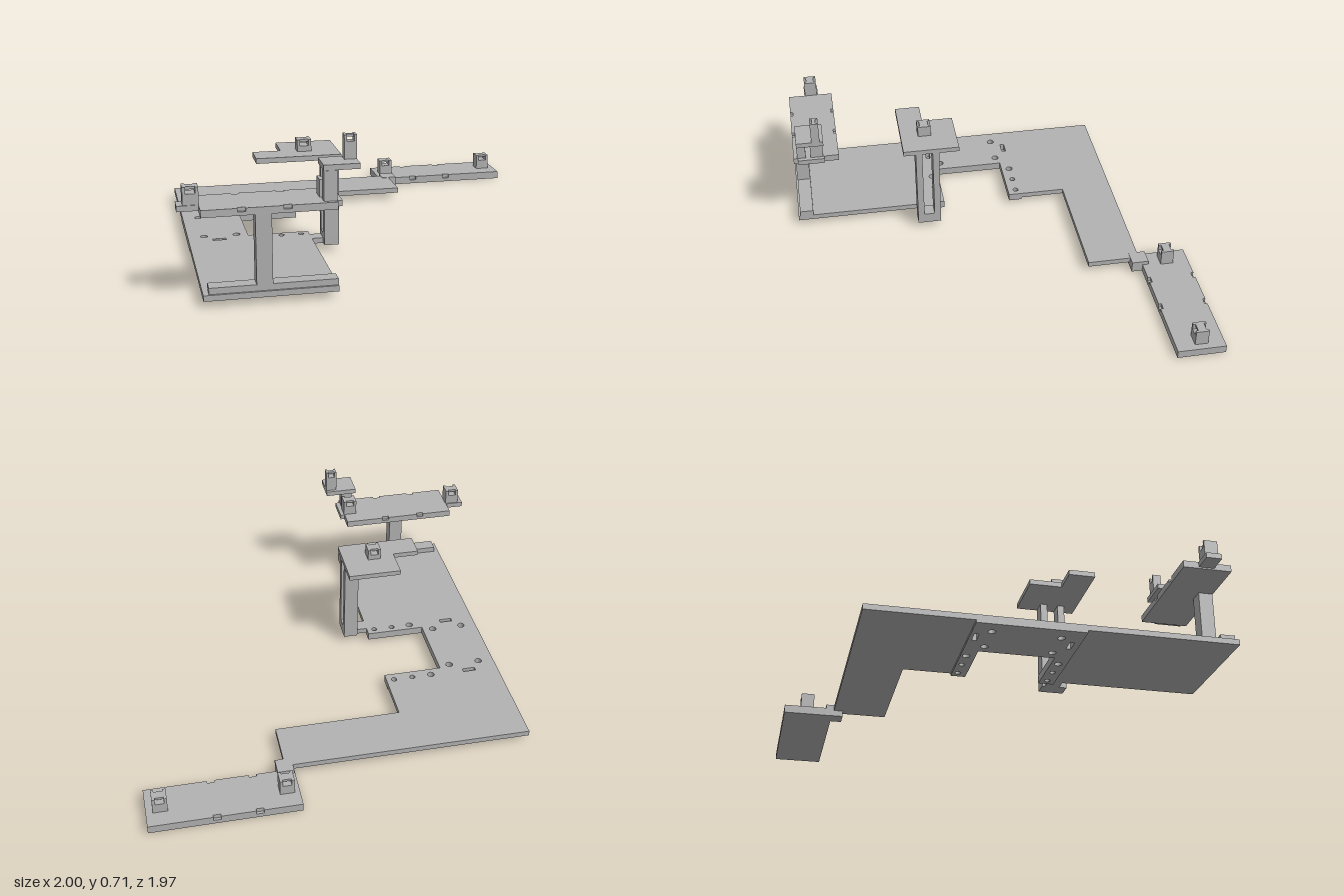
import * as THREE from 'three';

const grey = new THREE.MeshStandardMaterial({ color: 0xb2b2b2 });
grey.name = 'plain grey';

// Box given by its limits along each axis
function box(parent, name, x0, x1, y0, y1, z0, z1) {
  const mesh = new THREE.Mesh(new THREE.BoxGeometry(x1 - x0, y1 - y0, z1 - z0), grey);
  mesh.position.set((x0 + x1) / 2, (y0 + y1) / 2, (z0 + z1) / 2);
  mesh.name = name;
  parent.add(mesh);
}

// Flat plate with an outline of [x, z] points, between two heights
function plate(parent, name, outline, y0, y1, holes = []) {
  const shape = new THREE.Shape(outline.map(([x, z]) => new THREE.Vector2(x, z)));
  shape.holes.push(...holes);
  const geometry = new THREE.ExtrudeGeometry(shape, { depth: y1 - y0, bevelEnabled: false, curveSegments: 10 });
  geometry.rotateX(Math.PI / 2).translate(0, y1, 0);
  const mesh = new THREE.Mesh(geometry, grey);
  mesh.name = name;
  parent.add(mesh);
}

function roundHole(x, z, r) {
  const path = new THREE.Path();
  path.absarc(x, z, r, 0, Math.PI * 2, true);
  return path;
}

function slotHole(x, z) {
  const w = 0.033, h = 0.011;
  return new THREE.Path([[-w, -h], [-w, h], [w, h], [w, -h]].map(([a, b]) => new THREE.Vector2(x + a, z + b)));
}

// Bolt holes, the same on both sides of the recess
function boltHoles() {
  const holes = [];
  for (const [inner, outer] of [[-0.152, -0.213], [0.165, 0.225]]) {
    holes.push(roundHole(-0.825, inner, 0.018), roundHole(-0.665, inner, 0.018));
    holes.push(roundHole(-0.548, outer, 0.018), roundHole(-0.448, outer, 0.014), roundHole(-0.35, outer, 0.014));
    holes.push(slotHole(-0.755, outer));
  }
  return holes;
}

// Small upright block with a window through it and notched faces above
function lug(parent, name, x, y, z, w, h, d) {
  const group = new THREE.Group();
  group.name = name;
  const x0 = x - w / 2, x1 = x + w / 2, z0 = z - d / 2, z1 = z + d / 2;
  const side = w * 0.2, sill = y + h - 0.03, top = y + h;
  box(group, 'lugBody', x0, x1, y, sill, z0, z1);
  box(group, 'lugCheek', x0, x0 + side, sill, top, z0, z1);
  box(group, 'lugCheek', x1 - side, x1, sill, top, z0, z1);
  box(group, 'lugBridge', x0 + side, x1 - side, top - 0.012, top, z0 + 0.012, z1 - 0.012);
  parent.add(group);
}

// Rack plate whose upper half has two notches along each long edge
function rack(parent, name, x0, x1, y0, y1, z0, z1, notches) {
  const mid = (y0 + y1) / 2, w = 0.018, d = 0.014;
  const near = [], far = [];
  for (const n of notches) {
    near.push([n - w, z0], [n - w, z0 + d], [n + w, z0 + d], [n + w, z0]);
    far.unshift([n + w, z1], [n + w, z1 - d], [n - w, z1 - d], [n - w, z1]);
  }
  box(parent, name + 'Bottom', x0, x1, y0, mid, z0, z1);
  plate(parent, name + 'Top', [[x0, z0], ...near, [x1, z0], [x1, z1], ...far, [x0, z1]], mid, y1);
}

export function createModel() {
  const model = new THREE.Group();
  model.name = 'bracketAssembly';

  // Base plate with a side recess and a rear arm
  plate(model, 'basePlate', [
    [-0.905, -0.735], [0.32, -0.735], [0.32, -0.47], [-0.31, -0.47], [-0.31, -0.17], [-0.61, -0.17],
    [-0.61, 0.19], [-0.31, 0.19], [-0.31, 0.98], [-0.905, 0.98],
  ], 0.031, 0.058, boltHoles());

  // Joining plate under the recess
  plate(model, 'joiningPlate', [
    [-0.905, -0.24], [-0.31, -0.24], [-0.31, -0.17], [-0.61, -0.17],
    [-0.61, 0.19], [-0.31, 0.19], [-0.31, 0.265], [-0.905, 0.265],
  ], 0.019, 0.031, boltHoles());

  // Rear rack and its corner link
  box(model, 'cornerLink', 0.282, 0.362, 0.002, 0.06, -0.775, -0.69);
  rack(model, 'rearRack', 0.278, 1, 0, 0.04, -0.985, -0.745, [0.48, 0.68]);
  for (const x of [0.338, 0.932]) lug(model, 'rearLug', x, 0.04, -0.87, 0.07, 0.08, 0.065);

  // Front stand
  box(model, 'standRail', -0.88, -0.31, 0.058, 0.087, 0.9, 0.97);
  box(model, 'standColumn', -0.672, -0.6, 0.087, 0.405, 0.9, 0.97);
  rack(model, 'frontRack', -0.905, -0.31, 0.405, 0.438, 0.737, 0.972, [-0.73, -0.53]);
  box(model, 'rackTab', -1, -0.905, 0.412, 0.438, 0.812, 0.887);
  box(model, 'rackTab', -0.31, -0.287, 0.412, 0.438, 0.812, 0.95);
  for (const x of [-0.938, -0.342]) lug(model, 'frontLug', x, 0.438, 0.85, 0.07, 0.08, 0.065);

  // Raised step on the front rack
  box(model, 'stepRiser', -0.37, -0.31, 0.438, 0.575, 0.908, 0.952);
  box(model, 'stepShelf', -0.37, -0.207, 0.575, 0.6, 0.812, 0.95);
  lug(model, 'stepLug', -0.235, 0.6, 0.85, 0.056, 0.11, 0.042);

  // Open column beside the recess
  box(model, 'columnFoot', -0.255, -0.182, 0.031, 0.085, 0.225, 0.347);
  box(model, 'columnLink', -0.31, -0.255, 0.031, 0.058, 0.24, 0.31);
  for (const z of [0.225, 0.313]) box(model, 'columnLeg', -0.255, -0.182, 0.085, 0.478, z, z + 0.034);

  // L-shaped shelf on the column
  plate(model, 'columnShelf', [
    [-0.455, 0.12], [-0.182, 0.12], [-0.182, 0.41], [-0.59, 0.41], [-0.59, 0.28], [-0.455, 0.28],
  ], 0.478, 0.503);
  lug(model, 'shelfLug', -0.345, 0.503, 0.285, 0.068, 0.057, 0.068);

  return model;
}
